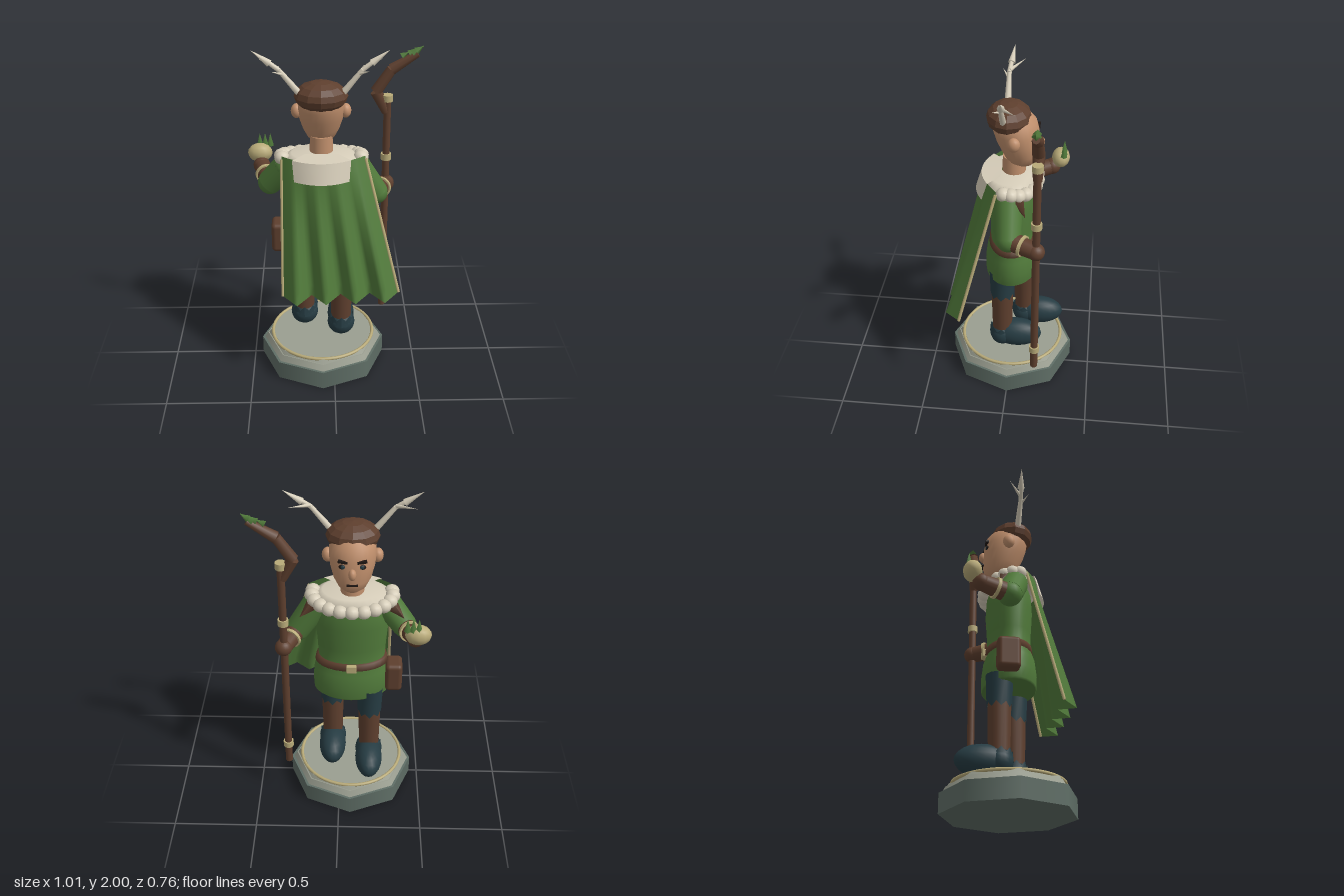
import * as THREE from 'three';
import { RoundedBoxGeometry } from 'three/addons/geometries/RoundedBoxGeometry.js';

const mat = (name, color, extra = {}) => Object.assign(new THREE.MeshStandardMaterial({ color, ...extra }), { name });
const V = (x, y, z) => new THREE.Vector3(x, y, z);
const CX = -0.07; // body axis

export function createModel() {
  const root = new THREE.Group();
  root.name = 'figurine';
  const stoneDark = mat('darkStone', 0x5f6e66);
  const stone = mat('paleStone', 0x9a9e90);
  const slate = mat('slateCloth', 0x263c43, { side: THREE.DoubleSide });
  const brown = mat('brownLeather', 0x5e3f2e);
  const green = mat('greenCloth', 0x50793a, { side: THREE.DoubleSide });
  const gold = mat('paleGold', 0xb9ab79);
  const bone = mat('boneFur', 0xd6cdb9, { side: THREE.DoubleSide });
  const skin = mat('skin', 0xc08f6c);
  const dark = mat('darkFeature', 0x1f1714);

  const add = (name, geo, m, p = [0, 0, 0], s = [1, 1, 1], r = [0, 0, 0]) => {
    const mesh = new THREE.Mesh(geo, m);
    mesh.name = name;
    mesh.position.set(...p);
    mesh.scale.set(...s);
    mesh.rotation.set(...r);
    root.add(mesh);
    return mesh;
  };
  const ball = (name, m, p, s, seg = 20) => add(name, new THREE.SphereGeometry(1, seg, Math.max(8, seg * 0.6 | 0)), m, p, s);
  // tapered rod between two points
  const rod = (name, a, b, r0, r1, m, seg = 12) => {
    const mesh = add(name, new THREE.CylinderGeometry(r1, r0, a.distanceTo(b), seg), m);
    mesh.position.copy(a).lerp(b, 0.5);
    mesh.quaternion.setFromUnitVectors(V(0, 1, 0), b.clone().sub(a).normalize());
    return mesh;
  };
  // elliptical rings [y, rx, rz, cz] joined into a skin
  const loft = (rings, seg = 28) => {
    const pos = [], idx = [];
    rings.forEach(([y, rx, rz, cz = 0], j) => {
      for (let i = 0; i < seg; i++) {
        const a = i / seg * Math.PI * 2, n = (i + 1) % seg;
        pos.push(Math.cos(a) * rx, y, cz + Math.sin(a) * rz);
        if (j) {
          const lo = (j - 1) * seg, hi = j * seg;
          idx.push(lo + i, hi + i, lo + n, lo + n, hi + i, hi + n);
        }
      }
    });
    const g = new THREE.BufferGeometry();
    g.setAttribute('position', new THREE.Float32BufferAttribute(pos, 3));
    g.setIndex(idx);
    g.computeVertexNormals();
    return g;
  };
  // sheet from a rule f(u, v)
  const sheet = (f, nu, nv) => {
    const g = new THREE.PlaneGeometry(1, 1, nu, nv), p = g.attributes.position;
    for (let i = 0; i < p.count; i++) p.setXYZ(i, ...f(p.getX(i) + 0.5, 0.5 - p.getY(i)).toArray());
    g.computeVertexNormals();
    return g;
  };
  // open tube with one jagged rim
  const jagged = (rTop, rBot, h, top) => {
    const g = new THREE.CylinderGeometry(rTop, rBot, h, 16, 1, true), p = g.attributes.position;
    for (let i = 0; i < p.count; i++) if ((p.getY(i) > 0) === top && i % 17 % 2) p.setY(i, p.getY(i) + (top ? -0.03 : 0.03));
    g.computeVertexNormals();
    return g;
  };

  // octagonal plinth
  add('plinthBase', new THREE.CylinderGeometry(0.38, 0.38, 0.115, 8), stoneDark, [CX, 0.0575, 0]);
  add('plinthStep', new THREE.CylinderGeometry(0.345, 0.365, 0.035, 8), stone, [CX, 0.1325, 0]);
  add('plinthTop', new THREE.CylinderGeometry(0.325, 0.34, 0.022, 8), stone, [CX, 0.16, 0]);
  add('plinthRing', new THREE.TorusGeometry(0.312, 0.01, 8, 48), gold, [CX, 0.17, 0], [1, 1, 1], [Math.PI / 2, 0, 0]);

  // legs: one foot steps forward
  for (const [x, z] of [[-0.182, -0.07], [0.045, 0.05]]) {
    ball('foot', slate, [x, 0.268, z - 0.085], [0.083, 0.092, 0.16]);
    ball('heel', slate, [x, 0.265, z], [0.084, 0.082, 0.078]);
    add('ankleCuff', jagged(0.073, 0.08, 0.07, true), slate, [x, 0.3, z]);
    add('boot', new THREE.CylinderGeometry(0.067, 0.06, 0.34, 16), brown, [x, 0.43, z]);
    add('trouserLeg', jagged(0.078, 0.071, 0.2, false), slate, [x, 0.665, z]);
  }

  // tunic, belt and pouch
  add('tunic', loft([[0.715, 0.004, 0.004], [0.715, 0.21, 0.15], [0.725, 0.225, 0.156], [0.8, 0.228, 0.158], [0.88, 0.22, 0.148],
    [0.95, 0.195, 0.125], [1.05, 0.2, 0.125], [1.2, 0.212, 0.135], [1.3, 0.2, 0.13], [1.37, 0.16, 0.11], [1.4, 0.06, 0.06]]), green, [CX, 0, 0]);
  add('belt', loft([[0.925, 0.19, 0.12], [0.925, 0.216, 0.14], [0.965, 0.208, 0.136], [0.965, 0.18, 0.11]]), brown, [CX, 0, -0.004]);
  add('buckle', new RoundedBoxGeometry(0.06, 0.05, 0.025, 2, 0.006), gold, [CX, 0.945, -0.145]);
  add('pouch', new RoundedBoxGeometry(0.1, 0.185, 0.13, 3, 0.025), brown, [-0.32, 0.842, -0.04]);

  // cape: pleats grow toward the hem, which is blown toward +x
  const cape = (u, v) => {
    const s = 2 * u - 1, pleat = 1 - Math.abs(2 * ((u * 4) % 1) - 1);
    const lerp = THREE.MathUtils.lerp;
    return V(lerp(-0.06 + 0.235 * s, 0.035 + 0.337 * s, v),
      lerp(1.4, 0.6 + 0.02 * u, v) - 0.015 * pleat * v,
      lerp(0.165 - 0.1 * s * s, 0.27 + 0.09 * pleat, v));
  };
  add('cape', sheet(cape, 32, 12), green);
  for (const u of [0, 1]) rod('capeTrim', cape(u, 0.02), cape(u, 1), 0.009, 0.009, gold, 8);

  // fur collar with a drape over the back
  add('collar', loft([[1.345, 0.215, 0.15], [1.38, 0.21, 0.15], [1.4, 0.17, 0.125], [1.405, 0.05, 0.05]]), bone, [CX, 0, 0.01]);
  add('collarDrape', sheet((u, v) => {
    const s = 2 * u - 1;
    return V(CX + s * (0.165 - 0.01 * v), 1.4 - 0.115 * v, 0.175 - 0.05 * s * s + 0.035 * v);
  }, 12, 4), bone);
  add('collarShoulder', sheet((u, v) => {
    const s = 2 * u - 1;
    return V(CX + s * (0.165 - 0.07 * v), 1.4 + 0.01 * v, (0.175 - 0.05 * s * s) * (1 - v) + 0.06 * v);
  }, 12, 2), bone);
  for (let i = 0; i < 13; i++) {
    const a = -0.2 + i / 12 * (Math.PI + 0.4), k = Math.max(0, Math.sin(a));
    ball('furTuft', bone, [CX + 0.228 * Math.cos(a), 1.375 - 0.035 * k, -0.145 * Math.sin(a)], [0.044, 0.04, 0.042], 14);
  }

  // neck, head and face (faces -z)
  add('neck', new THREE.CylinderGeometry(0.064, 0.068, 0.14, 20), skin, [CX, 1.43, -0.01]);
  add('head', loft([[1.445, 0.004, 0.004, -0.06], [1.452, 0.045, 0.055, -0.06], [1.48, 0.08, 0.088, -0.057], [1.53, 0.105, 0.108, -0.052],
    [1.6, 0.125, 0.122, -0.034], [1.66, 0.132, 0.128, -0.022], [1.72, 0.125, 0.125, -0.01], [1.77, 0.09, 0.09, 0], [1.8, 0.01, 0.01, 0]]), skin, [CX, 0, 0]);
  ball('nose', skin, [CX, 1.592, -0.156], [0.022, 0.034, 0.027], 14);
  add('mouth', new THREE.BoxGeometry(0.06, 0.009, 0.012), dark, [CX, 1.528, -0.16]);
  add('hair', new THREE.SphereGeometry(1, 12, 8), Object.assign(brown.clone(), { name: 'brownHair', flatShading: true }),
    [CX, 1.74, 0.018], [0.15, 0.085, 0.127]);

  for (const s of [-1, 1]) {
    ball('ear', skin, [CX + s * 0.137, 1.64, -0.02], [0.032, 0.042, 0.036], 14);
    ball('eye', dark, [CX + s * 0.052, 1.632, -0.139], [0.022, 0.016, 0.008], 14);
    ball('iris', slate, [CX + s * 0.052, 1.632, -0.145], [0.012, 0.012, 0.005], 12);
    add('eyebrow', new THREE.BoxGeometry(0.052, 0.013, 0.018), dark, [CX + s * 0.052, 1.664, -0.142], [1, 1, 1], [0, 0, s * 0.18]);

    // antlers
    const p = (x, y, z) => V(CX + s * x, y, z);
    const fork = p(0.225, 1.895, 0.04);
    rod('antlerStem', p(0.105, 1.745, 0.038), fork, 0.02, 0.013, bone, 8);
    rod('antlerBeam', fork, p(0.3, 1.95, 0.03), 0.014, 0.012, bone, 8);
    rod('antlerTip', p(0.275, 1.93, 0.032), p(0.375, 2, 0.02), 0.021, 0, bone, 8);
    rod('antlerFrontTine', p(0.23, 1.905, 0.038), p(0.34, 1.93, -0.045), 0.012, 0, bone, 8);
    rod('antlerBackTine', p(0.2, 1.87, 0.04), p(0.265, 1.9, 0.08), 0.01, 0, bone, 8);

    // pointed shoulder guards
    rod('shoulderGuard', p(0.215, 1.345, -0.05), p(0.295, 1.275, -0.1), 0.045, 0, brown, 4);
  }

  // arms
  const arm = (shoulder, elbow, hand) => {
    ball('shoulder', green, shoulder.toArray(), [0.08, 0.08, 0.08]);
    rod('sleeve', shoulder, elbow, 0.08, 0.072, green, 18);
    ball('elbow', green, elbow.toArray(), [0.071, 0.071, 0.071]);
    rod('forearm', elbow, hand, 0.058, 0.047, brown, 16);
    const dir = hand.clone().sub(elbow).normalize();
    const cuff = elbow.clone().addScaledVector(dir, 0.08);
    rod('cuffRing', cuff, cuff.clone().addScaledVector(dir, 0.018), 0.062, 0.062, gold, 18);
    ball('hand', brown, hand.toArray(), [0.05, 0.05, 0.05]);
  };
  arm(V(-0.27, 1.31, 0), V(-0.37, 1.19, -0.04), V(-0.425, 1.22, -0.21));
  arm(V(0.13, 1.31, 0), V(0.245, 1.135, -0.01), V(0.315, 1.115, -0.17));

  // held orb with sprouts
  ball('orb', gold, [-0.435, 1.28, -0.26], [0.074, 0.058, 0.055], 12);
  for (let i = 0; i < 3; i++) add('orbSprout', new THREE.ConeGeometry(0.02, 0.08, 4), green, [-0.435 + i * 0.031, 1.355, -0.28]);

  // staff with bands, crook and leaves
  const sx = 0.312, sz = -0.17;
  add('staff', new THREE.CylinderGeometry(0.022, 0.022, 1.4, 10), brown, [sx, 0.945, sz]);
  for (const y of [0.385, 1.29, 1.655]) add('staffBand', new THREE.CylinderGeometry(0.031, 0.031, 0.038, 12), gold, [sx, y, sz]);
  const bend = [V(0.305, 1.57, sz), V(0.245, 1.695, sz), V(0.33, 1.825, sz), V(0.475, 1.915, sz)];
  [[0.025, 0.035], [0.035, 0.03], [0.034, 0.02]].forEach(([a, b], i) => rod('crook', bend[i], bend[i + 1], a, b, brown, 8));
  for (let i = 0; i < 3; i++) {
    const x = 0.385 + i * 0.04;
    rod('crookLeaf', V(x, 1.9 + i * 0.015, sz), V(x + 0.04, 1.925 + i * 0.016, sz), 0.022, 0, green, 4);
  }
  rod('crookLeafTip', V(0.445, 1.915, sz), V(0.505, 1.96, sz), 0.026, 0, green, 4);
  return root;
}
